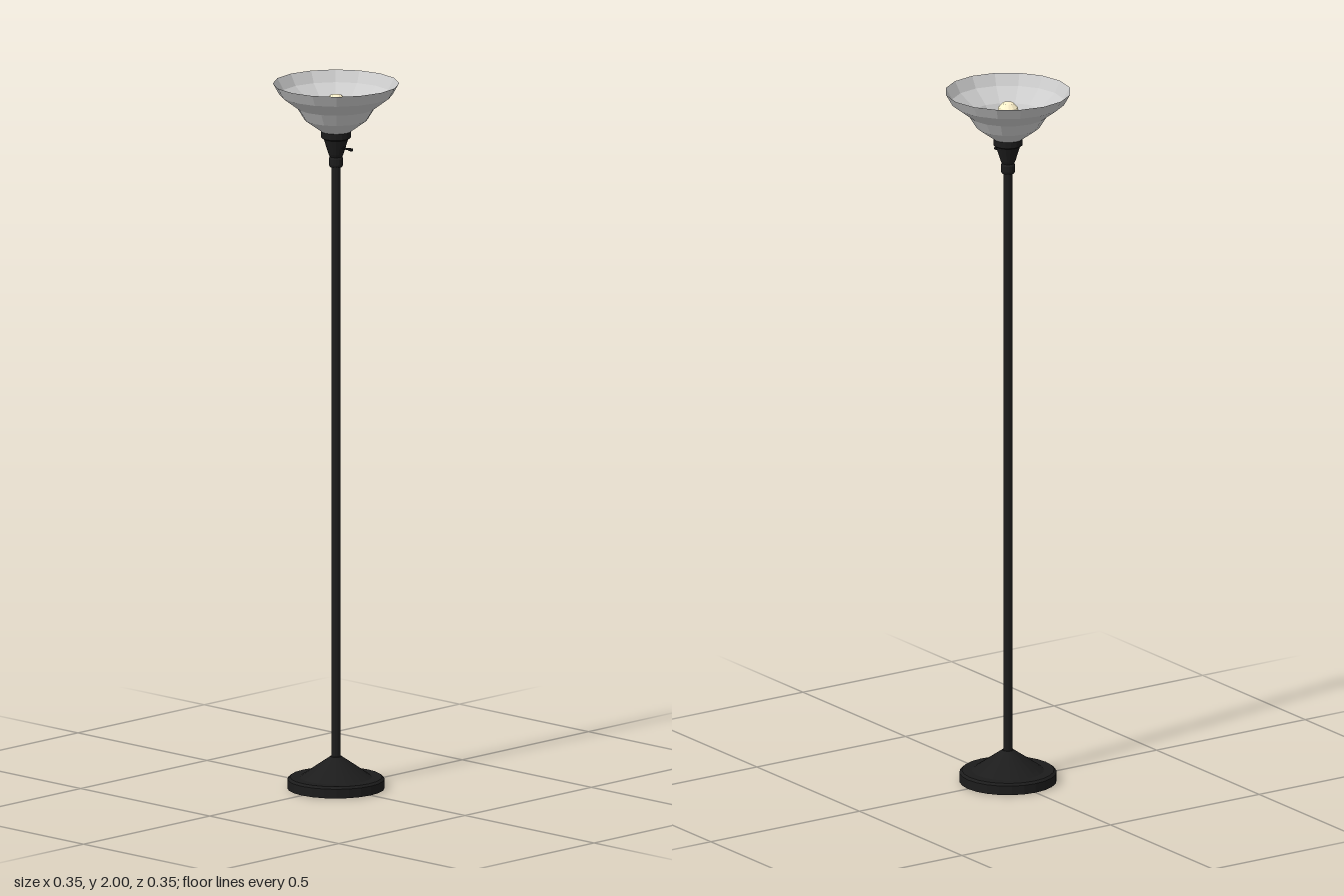
import * as THREE from 'three';

export function createModel() {
  const model = new THREE.Group();
  const mat = (color, side = THREE.FrontSide) =>
    new THREE.MeshStandardMaterial({ color, side, flatShading: true });
  const black = mat(0x1c1c1c);

  const add = (name, geometry, material) => {
    const mesh = new THREE.Mesh(geometry, material);
    mesh.name = name;
    model.add(mesh);
    return mesh;
  };
  // Profiles are [radius, height] pairs from bottom to top
  const turned = (name, profile, material, sides = 16) =>
    add(name, new THREE.LatheGeometry(profile.map(p => new THREE.Vector2(...p)), sides), material);

  // Heavy foot: disc with a stepped rim and a cone up to the pole
  turned('base', [[0, 0], [0.135, 0], [0.135, 0.026], [0.128, 0.032],
    [0.1, 0.032], [0.088, 0.04], [0.016, 0.09], [0, 0.09]], black, 24);

  turned('pole', [[0.013, 0.08], [0.013, 1.78]], black, 12);

  // Collar and flared cup holding the shade
  turned('socket', [[0, 1.763], [0.017, 1.763], [0.02, 1.77], [0.02, 1.786],
    [0.017, 1.792], [0.021, 1.8], [0.034, 1.842], [0.041, 1.846],
    [0.041, 1.864], [0, 1.864]], black);

  // Small turn switch pointing to the side
  const stem = add('switchStem', new THREE.CylinderGeometry(0.003, 0.003, 0.05, 8), black);
  stem.rotation.z = Math.PI / 2;
  stem.position.set(0.035, 1.82, 0);
  const knob = add('switchKnob', new THREE.CylinderGeometry(0.0045, 0.0045, 0.012, 8), black);
  knob.rotation.z = Math.PI / 2;
  knob.position.set(0.056, 1.82, 0);

  // Open bowl shade with stepped facets
  turned('shade', [[0.038, 1.862], [0.088, 1.898], [0.109, 1.932],
    [0.157, 1.968], [0.175, 2]], mat(0xcccccc, THREE.DoubleSide));

  // Bulb with narrow neck
  turned('bulb', [[0.013, 1.86], [0.014, 1.895], [0.024, 1.918], [0.03, 1.938],
    [0.027, 1.954], [0.016, 1.966], [0, 1.97]], mat(0xfff2cc), 12);

  return model;
}
